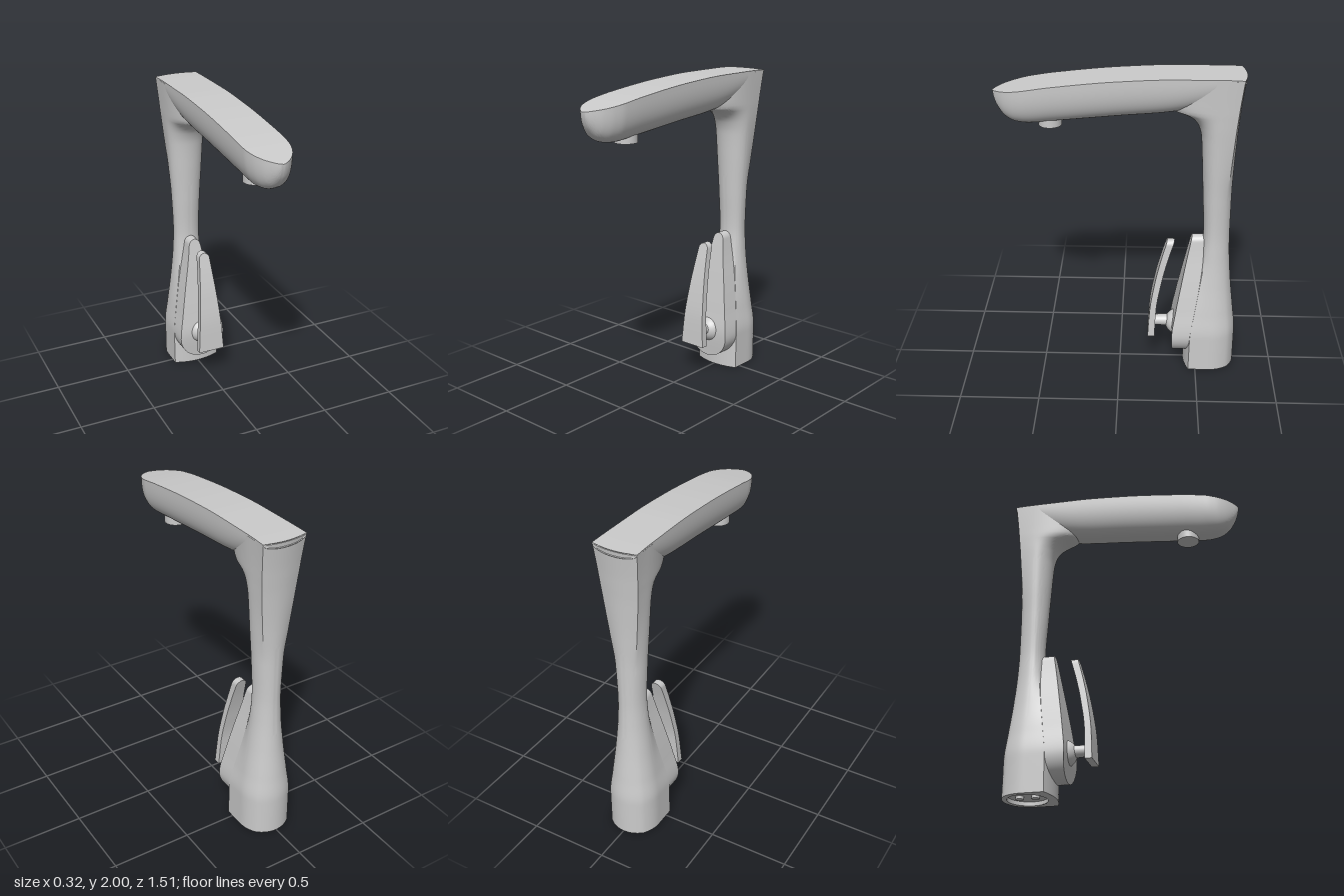
import * as THREE from 'three';
import { toCreasedNormals } from 'three/addons/utils/BufferGeometryUtils.js';

const material = new THREE.MeshStandardMaterial({ color: 0xcccccc });
const doubleSided = new THREE.MeshStandardMaterial({ color: 0xcccccc, side: THREE.DoubleSide });

// Smooth interpolation through rows of [t, value, value, ...]
function sample(keys, t) {
  let i = 0;
  while (i < keys.length - 2 && t > keys[i + 1][0]) i++;
  const a = keys[i], b = keys[i + 1];
  const p = keys[Math.max(i - 1, 0)], n = keys[Math.min(i + 2, keys.length - 1)];
  const h = b[0] - a[0], s = THREE.MathUtils.clamp((t - a[0]) / h, 0, 1);
  return a.slice(1).map((va, k) => {
    const vb = b[k + 1], d = (vb - va) / h;
    const slope = (d0, d1) => (d0 * d1 <= 0 ? 0 : (2 * d0 * d1) / (d0 + d1));
    const m0 = i === 0 ? d : slope((va - p[k + 1]) / (a[0] - p[0]), d);
    const m1 = i === keys.length - 2 ? d : slope(d, (n[k + 1] - vb) / (n[0] - b[0]));
    const s2 = s * s, s3 = s2 * s;
    return (2 * s3 - 3 * s2 + 1) * va + (s3 - 2 * s2 + s) * h * m0
      + (3 * s2 - 2 * s3) * vb + (s3 - s2) * h * m1;
  });
}

// Skin closed rings of [x, y, z] points, with optional end caps
function loft(rings, capStart = true, capEnd = true, crease = 0.6) {
  const n = rings[0].length, pos = rings.flat(2), index = [];
  const at = (i, j) => i * n + (j % n);
  for (let i = 0; i < rings.length - 1; i++) {
    for (let j = 0; j < n; j++) {
      index.push(at(i, j), at(i, j + 1), at(i + 1, j + 1), at(i, j), at(i + 1, j + 1), at(i + 1, j));
    }
  }
  const cap = (i, flip) => {
    const c = pos.length / 3;
    for (let k = 0; k < 3; k++) pos.push(rings[i].reduce((sum, p) => sum + p[k], 0) / n);
    for (let j = 0; j < n; j++) {
      if (flip) index.push(c, at(i, j + 1), at(i, j));
      else index.push(c, at(i, j), at(i, j + 1));
    }
  };
  if (capStart) cap(0, true);
  if (capEnd) cap(rings.length - 1, false);
  const geometry = new THREE.BufferGeometry();
  geometry.setAttribute('position', new THREE.Float32BufferAttribute(pos, 3));
  geometry.setIndex(index);
  return toCreasedNormals(geometry, crease);
}

// Column: y, half width, back z, front z, back squareness, front squareness
const columnKeys = [
  [0, 0.16, -0.755, -0.42, 0.1, 1], [0.24, 0.16, -0.755, -0.425, 0.1, 1],
  [0.4, 0.14, -0.738, -0.452, 0.08, 0.9], [0.6, 0.113, -0.714, -0.488, 0.04, 0.6],
  [0.8, 0.093, -0.697, -0.517, 0, 0.2], [0.95, 0.086, -0.691, -0.525, 0, 0],
  [1.2, 0.095, -0.69, -0.513, 0.05, 0], [1.4, 0.108, -0.695, -0.502, 0.4, 0],
  [1.6, 0.12, -0.705, -0.488, 0.7, 0], [1.68, 0.125, -0.71, -0.465, 0.78, 0],
  [1.74, 0.128, -0.715, -0.405, 0.84, 0], [1.775, 0.13, -0.718, -0.31, 0.87, 0],
  [1.82, 0.132, -0.722, -0.29, 0.9, 0], [1.99, 0.141, -0.742, -0.29, 1, 0],
];
const AXIS_Z = -0.59;
function columnRing(y) {
  const [w, back, front, kb, kf] = sample(columnKeys, y);
  const ring = [], N = 64;
  for (let j = 0; j < N; j++) {
    const a = (j / N) * Math.PI * 2, c = Math.cos(a), s = Math.sin(a);
    const isBack = s >= 0, k = isBack ? kb : kf;
    const depth = isBack ? AXIS_Z - back : front - AXIS_Z;
    const bow = depth * (isBack ? 0.15 : 0.2);
    const m = Math.max(Math.abs(c), Math.abs(s)), u = c / m, v = Math.abs(s) / m;
    const squareZ = v > 0.9999 ? depth - bow * u * u : v * (depth - bow);
    const x = w * THREE.MathUtils.lerp(c, u, k);
    const d = THREE.MathUtils.lerp(Math.abs(s) * depth, squareZ, k);
    ring.push([x, y, AXIS_Z + (isBack ? -d : d)]);
  }
  return ring;
}

// Spout: z, half width, top y, underside y
const spoutKeys = [
  [-0.72, 0.142, 1.996, 1.96], [-0.6, 0.14, 1.999, 1.85], [-0.3, 0.14, 1.998, 1.765],
  [0, 0.14, 1.984, 1.737], [0.4, 0.14, 1.944, 1.699], [0.55, 0.137, 1.921, 1.686],
  [0.62, 0.122, 1.908, 1.693], [0.68, 0.094, 1.897, 1.722], [0.73, 0.05, 1.887, 1.785],
  [0.75, 0.022, 1.882, 1.835], [0.758, 0.003, 1.88, 1.875],
];
function spoutRing(z) {
  const [w, top, bottom] = sample(spoutKeys, z);
  const ring = [], N = 36, e = 2 / 2.5;
  const bow = 0.022 * THREE.MathUtils.clamp((-0.5 - z) / 0.22, 0, 1);
  const add = (u, y) => ring.push([w * u, y, z - bow * (1 - u * u)]);
  for (let j = 0; j <= N; j++) {
    const a = (j / N) * Math.PI, c = Math.cos(a);
    add(Math.sign(c) * Math.abs(c) ** e, top - (top - bottom) * Math.abs(Math.sin(a)) ** e);
  }
  for (let j = 1; j < 12; j++) add(-1 + j / 6, top);
  return ring;
}

// Upright slab with a width profile and curved front and back; ends are optionally round
function slab(y0, y1, keys, bottomRadius, topRadius) {
  const rings = [], rows = 56;
  for (let i = 0; i <= rows; i++) {
    const y = THREE.MathUtils.lerp(y0, y1, 0.5 - 0.5 * Math.cos((i / rows) * Math.PI));
    const [width, front, back] = sample(keys, y);
    const round = (d, r) => (d < r ? Math.sqrt(Math.max(1 - (1 - d / r) ** 2, 0.0004)) : 1);
    const w = width * round(y - y0, bottomRadius) * round(y1 - y, topRadius);
    rings.push([[w, y, front], [w, y, back], [-w, y, back], [-w, y, front]]);
  }
  return loft(rings);
}

export function createModel() {
  const model = new THREE.Group();
  const add = (name, geometry, x = 0, y = 0, z = 0, mat = material) => {
    const mesh = new THREE.Mesh(geometry, mat);
    mesh.name = name;
    mesh.position.set(x, y, z);
    model.add(mesh);
    return mesh;
  };

  // Column, open below where the base plate closes it
  const columnRings = [];
  for (let i = 0; i <= 100; i++) columnRings.push(columnRing((1.99 * i) / 100));
  add('column', loft(columnRings, false, true));

  // Spout, from the tip to the back edge
  const spoutRings = [];
  for (let i = 0; i <= 80; i++) {
    const t = i / 80;
    spoutRings.push(spoutRing(0.758 - 1.478 * t ** 1.7));
  }
  add('spout', loft(spoutRings));
  add('aerator', new THREE.CylinderGeometry(0.07, 0.07, 0.07, 40), 0, 1.7, 0.42);

  // Teardrop plate on the column front: y, half width, front z, back z
  add('mountingPlate', slab(0.087, 0.93, [
    [0.087, 0.16, -0.348, -0.46], [0.25, 0.158, -0.34, -0.465], [0.42, 0.131, -0.362, -0.485],
    [0.6, 0.097, -0.393, -0.515], [0.8, 0.056, -0.43, -0.53], [0.93, 0.034, -0.456, -0.53],
  ], 0.163, 0.036));

  // Lever blade
  add('lever', slab(0.21, 0.893, [
    [0.21, 0.09, -0.183, -0.228], [0.4, 0.077, -0.195, -0.236], [0.6, 0.06, -0.226, -0.268],
    [0.75, 0.046, -0.26, -0.304], [0.893, 0.034, -0.3, -0.347],
  ], 0, 0.034));

  // Lever stem with a domed pivot
  const stem = add('leverStem', new THREE.CylinderGeometry(0.034, 0.04, 0.13, 32), 0, 0.285, -0.275);
  stem.rotation.x = Math.PI / 2;
  add('pivotDome', new THREE.SphereGeometry(0.088, 40, 24), 0, 0.275, -0.385);

  // Underside rim with a round recess
  const foot = new THREE.Shape(columnRing(0).map(([x, , z]) => new THREE.Vector2(x, z)));
  foot.holes.push(new THREE.Path().absarc(0, -0.6, 0.125, 0, Math.PI * 2, true));
  const rim = add('baseRim', new THREE.ShapeGeometry(foot, 48), 0, 0, 0, doubleSided);
  rim.rotation.x = Math.PI / 2;
  add('baseRecess', new THREE.CylinderGeometry(0.125, 0.125, 0.025, 48, 1, true), 0, 0.0125, -0.6, doubleSided);
  const plate = add('basePlate', new THREE.CircleGeometry(0.125, 48), 0, 0.025, -0.6);
  plate.rotation.x = Math.PI / 2;
  for (const side of [-1, 1]) {
    add('hoseFitting', new THREE.CylinderGeometry(0.026, 0.026, 0.018, 24), 0, 0.016, -0.6 + side * 0.05);
  }
  return model;
}
